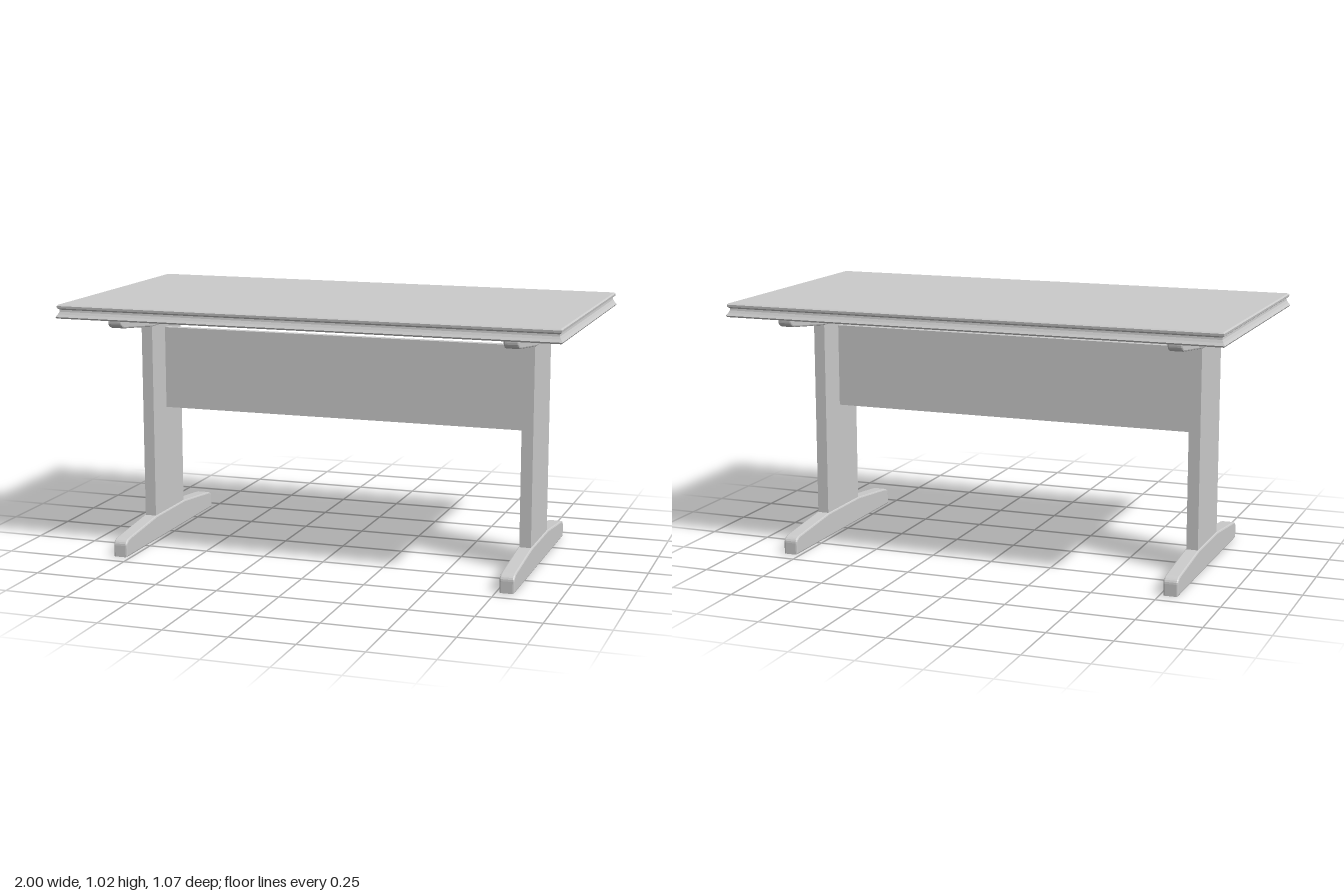
import * as THREE from 'three';

const grey = new THREE.MeshStandardMaterial({ color: 0xcccccc, flatShading: true });

function add(parent, name, geometry, x = 0, y = 0, z = 0) {
  const mesh = new THREE.Mesh(geometry, grey);
  mesh.name = name;
  mesh.position.set(x, y, z);
  parent.add(mesh);
  return mesh;
}

// Rectangular slab whose moulded edge follows [inset, height] steps, bottom to top
function mouldedSlab(halfX, halfZ, profile) {
  const positions = [];
  const rings = profile.map(([inset, y]) => {
    const x = halfX - inset, z = halfZ - inset;
    return [[-x, y, z], [x, y, z], [x, y, -z], [-x, y, -z]];
  });
  const quad = (a, b, c, d) => positions.push(...a, ...b, ...c, ...a, ...c, ...d);
  for (let i = 0; i < rings.length - 1; i++) {
    for (let k = 0; k < 4; k++) {
      const n = (k + 1) % 4;
      quad(rings[i][k], rings[i][n], rings[i + 1][n], rings[i + 1][k]);
    }
  }
  quad(...rings[rings.length - 1]);
  quad(...rings[0].slice().reverse());
  const geometry = new THREE.BufferGeometry();
  geometry.setAttribute('position', new THREE.Float32BufferAttribute(positions, 3));
  geometry.computeVertexNormals();
  return geometry;
}

// Tapered bar with rounded ends, flat on y = 0, running along z
function taperedBar(halfLength, height, endHeight, width) {
  const bevel = 0.006;
  const l = halfLength - bevel, h = height - bevel, e = endHeight - bevel;
  const shape = new THREE.Shape();
  shape.moveTo(-l, bevel);
  shape.lineTo(l, bevel);
  shape.lineTo(l, e - 0.022);
  shape.quadraticCurveTo(l, e - 0.003, l - 0.035, e);
  shape.lineTo(0.142, h);
  shape.lineTo(-0.142, h);
  shape.lineTo(-l + 0.035, e);
  shape.quadraticCurveTo(-l, e - 0.003, -l, e - 0.022);
  shape.closePath();
  const depth = width - 2 * bevel;
  const geometry = new THREE.ExtrudeGeometry(shape, {
    depth, bevelSize: bevel, bevelThickness: bevel, bevelSegments: 2, curveSegments: 6,
  });
  return geometry.translate(0, 0, -depth / 2).rotateY(Math.PI / 2);
}

export function createModel() {
  const table = new THREE.Group();
  table.name = 'table';

  // Tabletop with a flared lower lip, a groove and a thin upper bead
  add(table, 'tabletop', mouldedSlab(1, 0.533, [
    [0.004, 0.966], [0, 0.972], [0.007, 0.982], [0.012, 0.992], [0.013, 1.0],
    [0.005, 1.006], [0.004, 1.015], [0.009, 1.02],
  ]));

  // Two pedestal legs: foot, flat post and support arm
  for (const side of [-1, 1]) {
    const leg = new THREE.Group();
    leg.name = side > 0 ? 'leftLeg' : 'rightLeg';
    leg.position.x = side * 0.792;
    add(leg, 'foot', taperedBar(0.44, 0.1, 0.074, 0.058));
    add(leg, 'post', new THREE.BoxGeometry(0.046, 0.82, 0.286), 0, 0.495);
    const arm = add(leg, 'supportArm', taperedBar(0.442, 0.08, 0.05, 0.058), 0, 0.97);
    arm.rotation.z = Math.PI;
    table.add(leg);
  }

  // Panel joining the legs along the middle
  add(table, 'crossPanel', new THREE.BoxGeometry(1.55, 0.335, 0.03), 0, 0.7025);

  return table;
}
